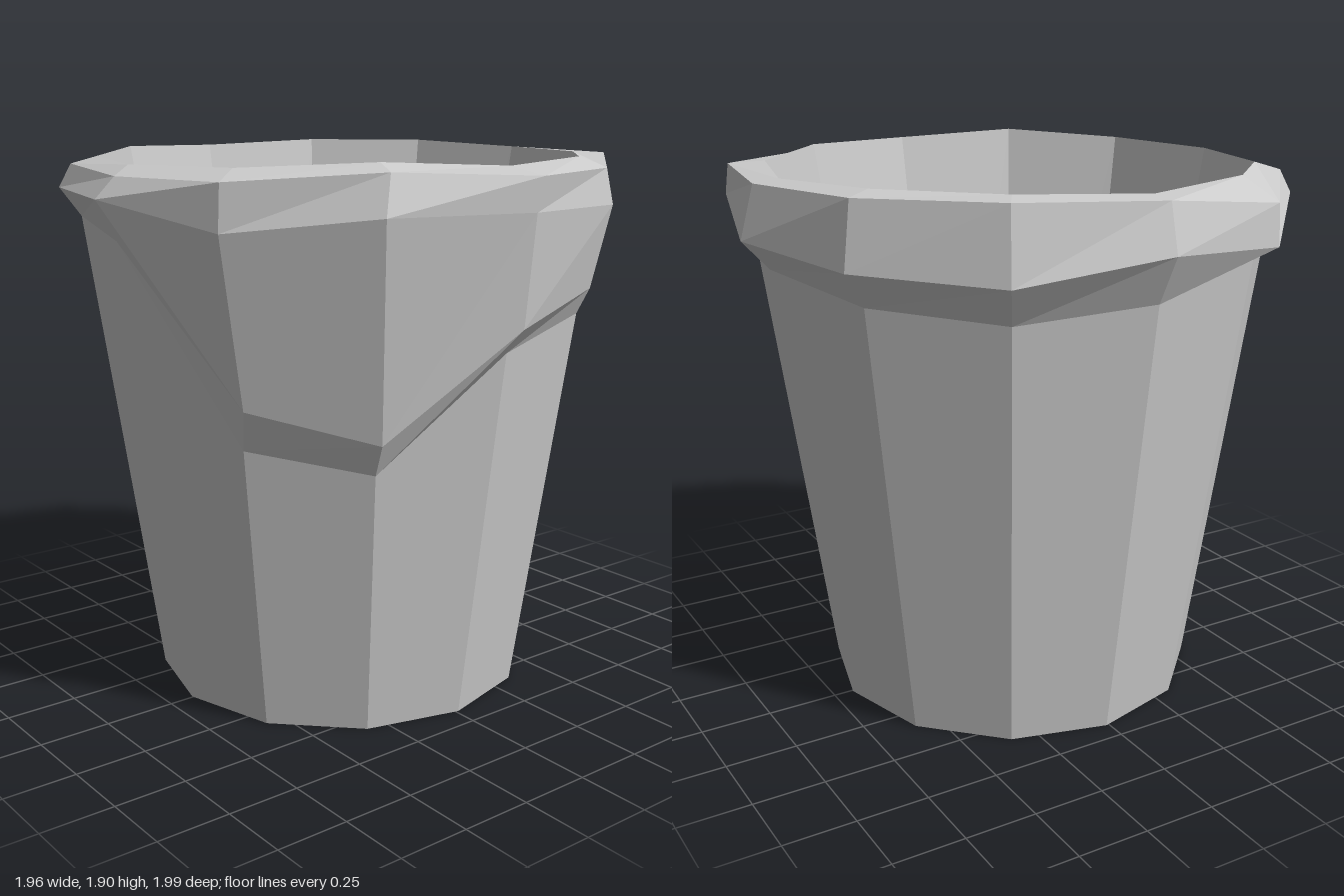
import * as THREE from 'three';

const SIDES = 12;
const material = new THREE.MeshStandardMaterial({ color: 0xcccccc, flatShading: true });

// A ring of points round the axis; index 0 is +x, then turning towards +z.
function ring(radius, height) {
  return Array.from({ length: SIDES }, (_, k) => {
    const a = (k / SIDES) * Math.PI * 2;
    const y = Array.isArray(height) ? height[k] : height;
    const r = typeof radius === 'function' ? radius(y) : radius;
    return new THREE.Vector3(r * Math.cos(a) - 0.005, y, r * Math.sin(a) - 0.01);
  });
}

const points = rows => rows.map(p => new THREE.Vector3(...p));

// Flat-sided skin over successive rings, leaving out collapsed triangles.
function skin(name, rings) {
  const pos = [];
  const tri = (a, b, c) => {
    const area = b.clone().sub(a).cross(c.clone().sub(a)).length();
    if (area > 1e-6) for (const p of [a, b, c]) pos.push(p.x, p.y, p.z);
  };
  for (let i = 0; i < rings.length - 1; i++) {
    const lo = rings[i], hi = rings[i + 1];
    for (let k = 0; k < SIDES; k++) {
      const n = (k + 1) % SIDES;
      tri(lo[n], lo[k], hi[k]);
      tri(lo[n], hi[k], hi[n]);
    }
  }
  const geometry = new THREE.BufferGeometry();
  geometry.setAttribute('position', new THREE.Float32BufferAttribute(pos, 3));
  geometry.computeVertexNormals();
  const mesh = new THREE.Mesh(geometry, material);
  mesh.name = name;
  return mesh;
}

export function createModel() {
  const group = new THREE.Group();
  group.name = 'linedBin';

  const wallRadius = y => 0.67 + 0.143 * y;

  // Where the liner's hem meets the outer wall
  const hem = ring(wallRadius,
    [1.30, 0.93, 1.00, 1.64, 1.68, 1.645, 1.56, 1.52, 1.55, 1.60, 1.67, 1.37]);

  // Outer lip of the hem, hanging low on one side
  const fold = points([
    [0.925, 1.385, -0.01], [0.745, 1.04, 0.41], [0.45, 1.14, 0.725], [0.04, 1.78, 0.99],
    [-0.50, 1.78, 0.84], [-0.90, 1.69, 0.45], [-0.98, 1.72, -0.01], [-0.85, 1.65, -0.50],
    [-0.49, 1.67, -0.86], [0, 1.70, -1.0], [0.47, 1.78, -0.88], [0.79, 1.46, -0.455],
  ]);

  // Shoulder: same as the fold, except above the hanging part
  const shoulder = fold.map(p => p.clone());
  shoulder[0].set(0.965, 1.75, -0.01);
  shoulder[1].set(0.835, 1.75, 0.475);
  shoulder[2].set(0.49, 1.70, 0.83);
  shoulder[11].set(0.835, 1.74, -0.50);

  // Outer edge of the rim
  const rimOuter = points([
    [0.975, 1.86, -0.03], [0.81, 1.88, 0.44], [0.485, 1.85, 0.82], [0.06, 1.85, 0.93],
    [-0.485, 1.86, 0.80], [-0.895, 1.83, 0.445], [-0.94, 1.88, -0.01], [-0.82, 1.895, -0.485],
    [-0.475, 1.89, -0.83], [0, 1.88, -0.95], [0.46, 1.885, -0.87], [0.82, 1.86, -0.48],
  ]);

  // Inner edge of the rim
  const rimInner = ring(0.853,
    [1.885, 1.905, 1.885, 1.88, 1.885, 1.90, 1.89, 1.905, 1.905, 1.89, 1.89, 1.895]);

  group.add(skin('bin', [ring(0, 0), ring(0.67, 0), hem]));
  group.add(skin('liner', [hem, fold, shoulder, rimOuter, rimInner, ring(0.533, 0.1), ring(0, 0.1)]));
  return group;
}
